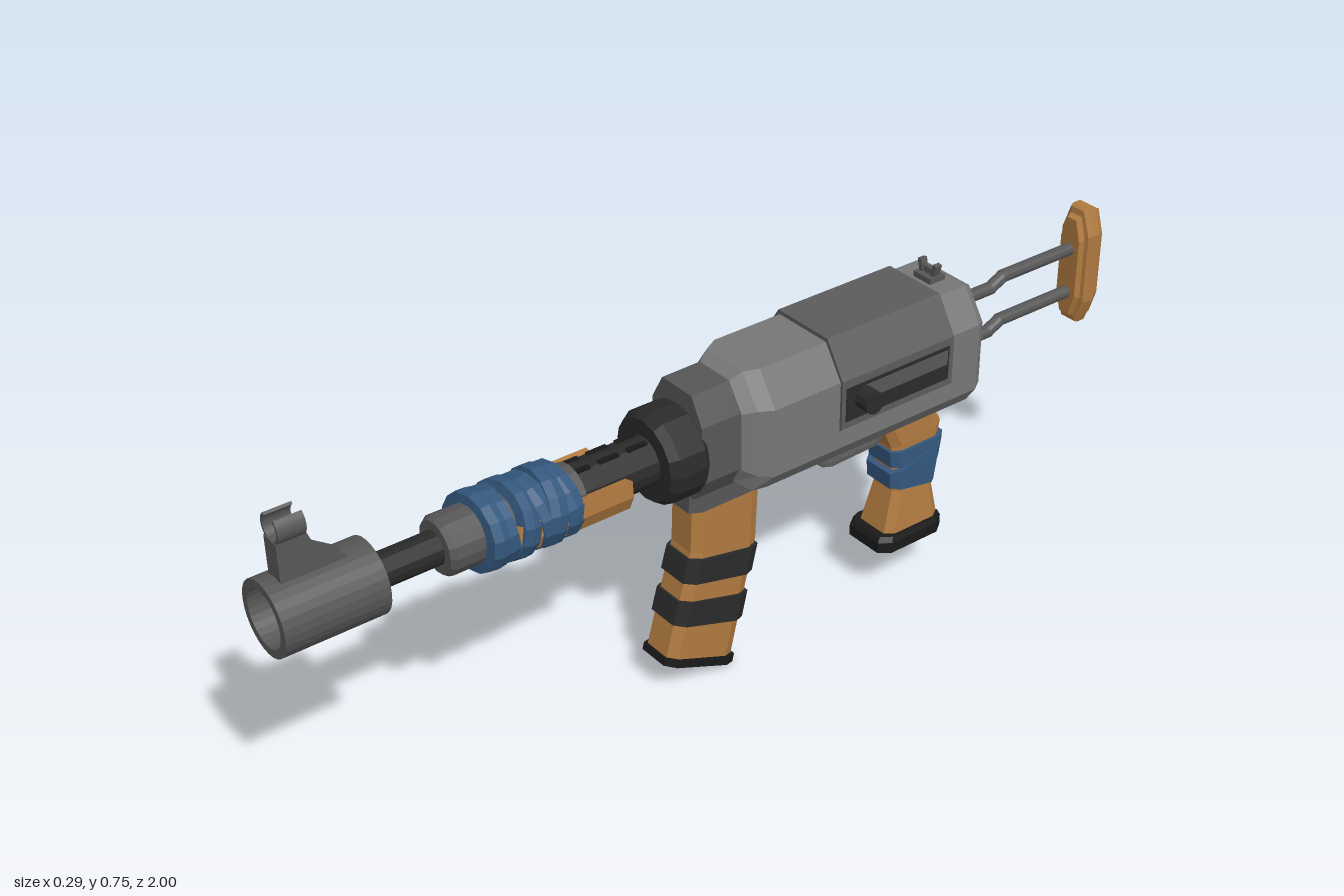
import * as THREE from 'three';

const mat = (color) => new THREE.MeshStandardMaterial({ color, flatShading: true });
const M = {
  body: mat(0x777777), metal: mat(0x575757), cover: mat(0x5c5c5c), dark: mat(0x2a2a2a),
  black: mat(0x1a1a1a), wood: mat(0xb07a40), cloth: mat(0x34587e),
};
const AXIS = 0.55; // height of the barrel axis

export function createModel() {
  const gun = new THREE.Group();
  gun.name = 'rifle';
  gun.position.x = -0.022;

  const add = (name, geo, material, x = 0, y = 0, z = 0) => {
    const m = new THREE.Mesh(geo, material);
    m.name = name;
    m.position.set(x, y, z);
    gun.add(m);
    return m;
  };
  const box = (name, w, h, d, material, x, y, z) =>
    add(name, new THREE.BoxGeometry(w, h, d), material, x, y, z);

  // Capped skin over rings of [x, y, z]; the first ring runs counter-clockwise seen from outside
  const loft = (rings) => {
    const n = rings[0].length, idx = [];
    const last = (rings.length - 1) * n;
    for (let r = 0; r < rings.length - 1; r++)
      for (let i = 0; i < n; i++) {
        const a = r * n + i, d = r * n + (i + 1) % n;
        idx.push(a, a + n, d + n, a, d + n, d);
      }
    for (let i = 1; i < n - 1; i++) idx.push(0, i, i + 1, last, last + i + 1, last + i);
    const g = new THREE.BufferGeometry();
    g.setAttribute('position', new THREE.Float32BufferAttribute(rings.flat(2), 3));
    g.setIndex(idx);
    const flat = g.toNonIndexed();
    flat.computeVertexNormals();
    return flat;
  };

  // Turned part along z: profile points are [radius, z]
  const turned = (name, pts, sides, material) => {
    const g = new THREE.LatheGeometry(pts.map((p) => new THREE.Vector2(...p)), sides);
    return add(name, g.rotateX(Math.PI / 2), material, 0, AXIS, 0);
  };

  // Side outline of [z, y] given a thickness across x
  const sideCut = (name, pts, width, material) => {
    const shape = new THREE.Shape(pts.map((p) => new THREE.Vector2(...p)));
    const g = new THREE.ExtrudeGeometry(shape, { depth: width, bevelEnabled: false });
    return add(name, g.translate(0, 0, -width / 2).rotateY(-Math.PI / 2), material);
  };

  // Round or flat bar between two [z, y] points
  const bar = (name, a, b, material, r, width) => {
    const dz = b[0] - a[0], dy = b[1] - a[1], len = Math.hypot(dz, dy) + r * 0.5;
    const g = width ? new THREE.BoxGeometry(width, len, r * 2) : new THREE.CylinderGeometry(r, r, len, 12);
    const m = add(name, g, material, 0, (a[1] + b[1]) / 2, (a[0] + b[0]) / 2);
    m.rotation.x = Math.atan2(dz, dy);
    return m;
  };

  // ---- Muzzle, barrel and front sight
  turned('muzzle', [[0, 0.79], [0.075, 0.79], [0.075, 1], [0.058, 1], [0.058, 0.87], [0.021, 0.87], [0.021, 0.84], [0, 0.84]], 28, M.metal);
  turned('barrel', [[0.034, 0.1], [0.034, 0.8]], 16, M.dark);
  turned('barrelSleeve', [[0, 0.36], [0.058, 0.36], [0.06, 0.645], [0.053, 0.655], [0, 0.655]], 16, M.metal);
  sideCut('frontSightBase', [[0.82, 0.61], [0.97, 0.61], [0.97, 0.702], [0.91, 0.702], [0.895, 0.662]], 0.042, M.metal);
  const ears = new THREE.Shape();
  const from = THREE.MathUtils.degToRad(125), to = THREE.MathUtils.degToRad(415);
  ears.absarc(0, 0, 0.03, from, to, false);
  ears.absarc(0, 0, 0.024, to, from, true);
  add('frontSightEars', new THREE.ExtrudeGeometry(ears, { depth: 0.055, bevelEnabled: false, curveSegments: 20 }), M.metal, 0, 0.724, 0.913);
  add('frontSightPin', new THREE.CylinderGeometry(0.003, 0.006, 0.045, 8), M.metal, 0, 0.717, 0.94);

  // ---- Handguard: vented tube, wooden half shell, cloth bands
  turned('ventedTube', [[0, 0.1], [0.053, 0.1], [0.053, 0.4], [0, 0.4]], 16, M.dark);
  for (const s of [-1, 1])
    for (let i = 0; i < 3; i++) box('vent', 0.01, 0.006, 0.045, M.black, s * 0.018, 0.6, 0.22 + i * 0.065);
  const shell = new THREE.Shape();
  const a0 = Math.PI * 0.9, a1 = Math.PI * 2.1;
  for (let i = 0; i <= 8; i++) {
    const a = a0 + (a1 - a0) * i / 8;
    shell[i ? 'lineTo' : 'moveTo'](Math.cos(a) * 0.078, Math.sin(a) * 0.074);
  }
  for (let i = 8; i >= 0; i--) {
    const a = a0 + (a1 - a0) * i / 8;
    shell.lineTo(Math.cos(a) * 0.05, Math.sin(a) * 0.05);
  }
  add('woodHandguard', new THREE.ExtrudeGeometry(shell, { depth: 0.31, bevelEnabled: false }), M.wood, 0, AXIS, 0.27);
  const bands = [[0.405, 0.08, 0.1], [0.435, -0.14, -0.05], [0.463, 0.1, 0.12], [0.505, -0.2, 0.1], [0.535, 0.12, -0.1], [0.566, -0.07, 0.06]];
  bands.forEach(([z, rx, ry], i) => {
    const r = 0.074 + (i % 2) * 0.003;
    const m = turned('clothBand', [[0.055, -0.021], [r, -0.019], [r + 0.003, 0], [r, 0.019], [0.055, 0.021]], 14, M.cloth);
    m.position.z = z;
    m.rotation.set(rx, ry, 0);
    m.scale.x = 1.07;
  });
  turned('frontCollar', [[0, 0.1], [0.088, 0.1], [0.098, 0.112], [0.098, 0.172], [0.086, 0.19], [0, 0.19]], 16, M.dark);

  // ---- Receiver: eight-sided sections along z
  const section = (z, w, top, tw, shoulder, low, bw, bottom) => [
    [bw, bottom], [w, low], [w, shoulder], [tw, top], [-tw, top], [-w, shoulder], [-w, low], [-bw, bottom],
  ].map(([x, y]) => [x, y, z]);
  add('receiverNeck', loft([
    section(0.11, 0.078, 0.682, 0.045, 0.625, 0.5, 0.05, 0.452),
    section(-0.05, 0.078, 0.684, 0.045, 0.625, 0.5, 0.05, 0.452),
  ]), M.metal);
  add('receiver', loft([
    section(0.02, 0.083, 0.683, 0.045, 0.625, 0.5, 0.06, 0.463),
    section(-0.005, 0.1, 0.698, 0.055, 0.63, 0.485, 0.085, 0.444),
    section(-0.035, 0.117, 0.7, 0.07, 0.63, 0.48, 0.092, 0.444),
    section(-0.565, 0.117, 0.7, 0.07, 0.63, 0.48, 0.092, 0.444),
    section(-0.585, 0.105, 0.69, 0.06, 0.625, 0.485, 0.08, 0.454),
  ]), M.body);
  add('receiverCover', loft([
    section(-0.198, 0.123, 0.709, 0.074, 0.633, 0.525, 0.115, 0.52),
    section(-0.49, 0.123, 0.709, 0.074, 0.633, 0.525, 0.115, 0.52),
  ]), M.cover);
  box('receiverUnderside', 0.15, 0.006, 0.46, M.metal, 0, 0.443, -0.32);
  add('rearPlate', loft([
    section(-0.58, 0.078, 0.67, 0.045, 0.625, 0.51, 0.045, 0.465),
    section(-0.598, 0.078, 0.67, 0.045, 0.625, 0.51, 0.045, 0.465),
  ]), M.metal);
  add('rearPlateStep', loft([
    section(-0.59, 0.055, 0.652, 0.032, 0.615, 0.52, 0.032, 0.482),
    section(-0.61, 0.053, 0.65, 0.03, 0.615, 0.52, 0.03, 0.484),
  ]), M.metal);

  // Bolt slot and handle on the left side
  box('boltSlot', 0.004, 0.075, 0.27, M.dark, 0.1225, 0.578, -0.343);
  box('boltCarrier', 0.006, 0.032, 0.215, M.metal, 0.1235, 0.592, -0.365);
  const handle = [[0.012, 0.05, 0.128], [0.024, 0.034, 0.15]];
  for (const [r, len, x] of handle)
    add('boltHandle', new THREE.CylinderGeometry(r, r, len, 12).rotateZ(Math.PI / 2), M.dark, x, 0.59, -0.245);

  // Rear sight
  box('rearSightBase', 0.05, 0.014, 0.04, M.metal, 0, 0.705, -0.53);
  for (const s of [-1, 1]) box('rearSightEar', 0.01, 0.036, 0.016, M.metal, s * 0.018, 0.72, -0.53).rotation.z = -s * 0.25;
  box('rearSightBlade', 0.03, 0.016, 0.01, M.metal, 0, 0.717, -0.53);

  // ---- Stock: two stepped rods and a layered wooden butt plate
  for (const [y0, y1] of [[0.616, 0.633], [0.513, 0.53]]) {
    bar('stockRod', [-0.59, y0], [-0.708, y0], M.metal, 0.014);
    bar('stockRod', [-0.706, y0], [-0.742, y1], M.metal, 0.014);
    bar('stockRod', [-0.74, y1], [-0.95, y1], M.metal, 0.014);
  }
  const butt = (z, w, h) => {
    const c = 0.592;
    return section(z, w, c + h, w * 0.5, c + h * 0.58, c - h * 0.58, w * 0.5, c - h);
  };
  add('buttPlate', loft([
    butt(-0.937, 0.026, 0.112), butt(-0.95, 0.03, 0.118), butt(-0.952, 0.038, 0.131),
    butt(-0.96, 0.042, 0.135), butt(-0.98, 0.042, 0.135), butt(-0.985, 0.036, 0.128), butt(-1, 0.032, 0.122),
  ]), M.wood);

  // ---- Chamfered ring for the parts hanging below: front edge (zf, yf), rear edge (zr, yr), half width w
  const ring = ([zf, yf, zr, yr, w], grow = 0) => {
    const k = grow / Math.abs(zf - zr), c = 0.72;
    return [[c, -1], [1, -c], [1, c], [c, 1], [-c, 1], [-1, c], [-1, -c], [-c, -1]].map(([u, v]) => {
      const t = 0.5 + v * (0.5 + k);
      return [u * (w + grow), yf + (yr - yf) * t, zf + (zr - zf) * t];
    });
  };
  // Station t (0 to 1) along a list of [t, ring values]
  const along = (path, t) => {
    let i = 1;
    while (i < path.length - 1 && path[i][0] < t) i++;
    const [t0, a] = path[i - 1], [t1, b] = path[i];
    return a.map((v, j) => v + (b[j] - v) * (t - t0) / (t1 - t0));
  };

  // Magazine
  const magPath = [[0, [0.1, 0.43, -0.065, 0.43, 0.043]], [0.4, [0.105, 0.315, -0.058, 0.285, 0.043]], [1, [0.172, 0.077, 0.008, 0.01, 0.043]]];
  const magBand = (name, t0, t1, grow, m) => add(name, loft([ring(along(magPath, t0), grow), ring(along(magPath, t1), grow)]), m);
  add('magazineWell', loft([ring([0.11, 0.47, -0.075, 0.47, 0.048]), ring([0.11, 0.41, -0.075, 0.41, 0.046])]), M.metal);
  add('magazine', loft(magPath.map(([, p]) => ring(p))), M.wood);
  magBand('magazineBand', 0.43, 0.56, 0.006, M.dark);
  magBand('magazineBand', 0.66, 0.79, 0.006, M.dark);
  magBand('magazineFloor', 0.975, 1.015, 0.006, M.black);

  // Pistol grip
  const gripPath = [
    [0, [-0.37, 0.46, -0.505, 0.46, 0.04]], [0.33, [-0.42, 0.35, -0.555, 0.37, 0.042]],
    [0.68, [-0.428, 0.24, -0.535, 0.24, 0.04]], [1, [-0.4, 0.135, -0.553, 0.135, 0.053]],
  ];
  add('grip', loft(gripPath.map(([, p]) => ring(p))), M.wood);
  add('gripBase', loft([ring([-0.388, 0.146, -0.553, 0.146, 0.058]), ring([-0.38, 0.135, -0.557, 0.135, 0.063]), ring([-0.38, 0.11, -0.557, 0.11, 0.063])]), M.black);
  [[0.38, 0.5, 0.008], [0.47, 0.59, -0.012], [0.56, 0.68, 0.01]].forEach(([t0, t1, tilt], i) => {
    const turn = (t) => {
      const p = along(gripPath, t);
      p[1] += tilt;
      p[3] -= tilt;
      return ring(p, 0.007 + (i % 2) * 0.003);
    };
    add('gripCloth', loft([turn(t0), turn(t1)]), M.cloth);
  });

  // Trigger and guard
  const guard = [[-0.185, 0.446], [-0.25, 0.366], [-0.275, 0.358], [-0.39, 0.362], [-0.43, 0.385]];
  for (let i = 1; i < guard.length; i++) bar('triggerGuard', guard[i - 1], guard[i], M.metal, 0.004, 0.024);
  bar('trigger', [-0.36, 0.45], [-0.372, 0.415], M.metal, 0.007, 0.014);
  bar('trigger', [-0.372, 0.417], [-0.362, 0.388], M.metal, 0.006, 0.014);

  const root = new THREE.Group();
  root.add(gun);
  return root;
}
